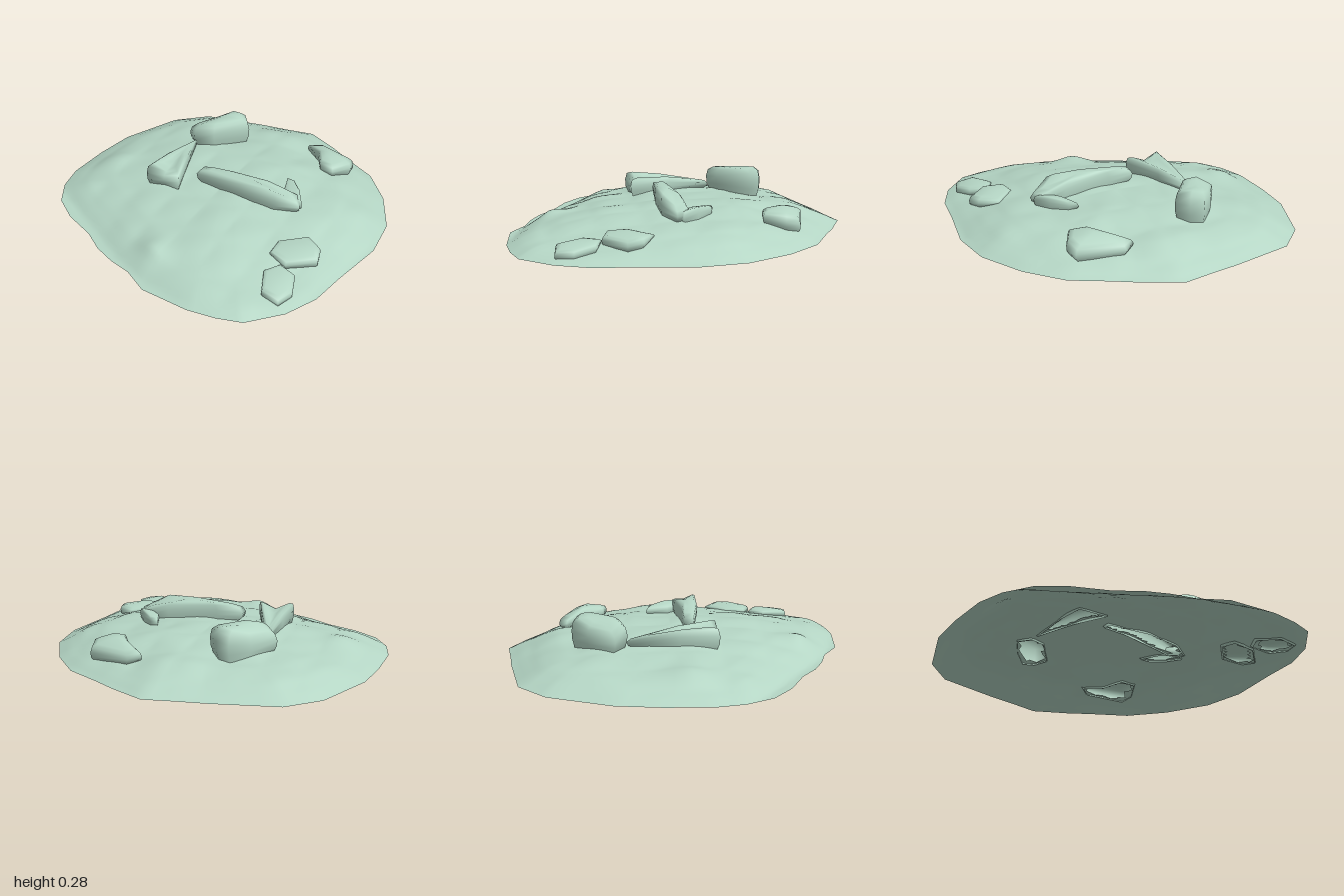
import * as THREE from 'three';

const material = new THREE.MeshStandardMaterial({ color: 0xb5d6c5, side: THREE.DoubleSide });

// Ground outline as x, z, clockwise seen from above
const rim = [
  [-0.32, -0.88], [-0.1, -0.87], [0.05, -0.85], [0.28, -0.83], [0.51, -0.72], [0.73, -0.54],
  [0.86, -0.32], [0.94, 0], [1, 0.2], [1, 0.4], [0.93, 0.61], [0.82, 0.7], [0.68, 0.78],
  [0.41, 0.87], [0.24, 0.85], [0.1, 0.87], [-0.04, 0.87], [-0.19, 0.84], [-0.4, 0.84],
  [-0.58, 0.8], [-0.72, 0.7], [-0.82, 0.57], [-0.92, 0.33], [-0.99, 0.1], [-1, -0.27],
  [-0.91, -0.48], [-0.6, -0.7], [-0.47, -0.78],
];

// Mound height from centre (0) to rim (1)
const profile = [[0, 0.16], [0.3, 0.15], [0.5, 0.13], [0.7, 0.1], [0.85, 0.063], [0.93, 0.035], [1, 0.004]];

// Low swells and hollows: x, z, radius, height
const swells = [
  [0.25, 0.7, 0.1, 0.04], [-0.65, 0.35, 0.1, 0.022], [-0.3, -0.55, 0.16, 0.015],
  [0.6, -0.35, 0.13, 0.02], [-0.8, -0.2, 0.16, 0.022], [0.8, 0.28, 0.22, -0.028],
  [0.1, -0.35, 0.12, 0.016],
];

// Rock outlines as x, z, top height, clockwise seen from above
const longRock = { name: 'longRock', peak: 0.258, outline: [
  [-0.11, 0.13, 0.24], [0.03, 0.06, 0.25], [0.28, -0.09, 0.235], [0.42, -0.16, 0.2],
  [0.48, -0.11, 0.19], [0.4, 0, 0.255], [0.2, 0.09, 0.255], [-0.09, 0.18, 0.24],
] };
const flatSlab = { name: 'flatSlab', peak: 0.19, outline: [
  [0.21, -0.24, 0.18], [0.26, -0.25, 0.185], [0.37, -0.2, 0.195], [0.46, -0.14, 0.19],
  [0.42, -0.09, 0.18], [0.3, -0.14, 0.18],
] };
// Hollowed between its two raised corners
const fanRock = { name: 'fanRock', peak: 0.215, outline: [
  [-0.45, -0.07, 0.19], [-0.26, 0.12, 0.235], [-0.08, 0.31, 0.25], [-0.18, 0.345, 0.21],
  [-0.27, 0.4, 0.26], [-0.35, 0.2, 0.24],
] };
const tallRock = { name: 'tallRock', peak: 0.28, outline: [
  [-0.47, -0.39, 0.275], [-0.39, -0.4, 0.29], [-0.31, -0.36, 0.28], [-0.37, -0.14, 0.28],
  [-0.46, -0.06, 0.265], [-0.55, -0.09, 0.225], [-0.52, -0.27, 0.24],
] };
const backRock = { name: 'backRock', peak: 0.178, outline: [
  [-0.07, -0.63, 0.135], [-0.03, -0.7, 0.13], [0.23, -0.73, 0.13], [0.28, -0.66, 0.155],
  [0.27, -0.53, 0.16], [0.18, -0.51, 0.165], [0.07, -0.59, 0.165],
] };
const sideRock = { name: 'sideRock', peak: 0.122, outline: [
  [0.66, -0.03, 0.11], [0.78, -0.01, 0.115], [0.84, 0.06, 0.105], [0.77, 0.22, 0.11],
  [0.65, 0.23, 0.115], [0.6, 0.13, 0.115],
] };
const edgeRock = { name: 'edgeRock', peak: 0.088, outline: [
  [0.74, 0.23, 0.09], [0.85, 0.22, 0.085], [0.94, 0.31, 0.065], [0.95, 0.41, 0.06],
  [0.85, 0.44, 0.08], [0.73, 0.33, 0.09],
] };
const rocks = [longRock, flatSlab, fanRock, tallRock, backRock, sideRock, edgeRock];

// Fraction of the way from the centre to the rim
function rimFraction(x, z) {
  let t = 0;
  rim.forEach(([ax, az], i) => {
    const [bx, bz] = rim[(i + 1) % rim.length];
    const dx = bx - ax, dz = bz - az;
    t = Math.max(t, (x * dz - z * dx) / (ax * dz - az * dx));
  });
  return Math.min(1, t);
}

function groundHeight(x, z) {
  const t = rimFraction(x, z);
  const k = Math.max(1, profile.findIndex(([p]) => p >= t));
  const [t0, h0] = profile[k - 1], [t1, h1] = profile[k];
  let y = h0 + (h1 - h0) * (t - t0) / (t1 - t0);
  const fade = Math.min(1, (1 - t) * 6);
  y += fade * (0.006 * Math.sin(9 * x + 4 * z) * Math.cos(11 * z - 3 * x)
    + 0.008 * Math.abs(Math.sin(13 * x - 6 * z) * Math.sin(11 * z + 5 * x)) - 0.003);
  for (const [sx, sz, r, h] of swells) {
    y += fade * h * Math.exp(-((x - sx) ** 2 + (z - sz) ** 2) / (r * r));
  }
  return y;
}

const centre = (outline) => [0, 1].map((k) => outline.reduce((sum, p) => sum + p[k], 0) / outline.length);

// Foot areas of the rocks, where the ground is left open
const feet = rocks.map(({ outline }) => {
  const [cx, cz] = centre(outline);
  return outline.map(([x, z]) => [cx + (x - cx) * 0.88, cz + (z - cz) * 0.88]);
});

function inside([x, , z], polygon) {
  let hit = false;
  polygon.forEach(([ax, az], i) => {
    const [bx, bz] = polygon[(i + 1) % polygon.length];
    if ((az > z) !== (bz > z) && x < ax + (bx - ax) * (z - az) / (bz - az)) hit = !hit;
  });
  return hit;
}

// Skin over rings of equal length, outermost first, closed by a top point; holes stay open
function loft(name, rings, peak, holes = []) {
  const n = rings[0].length, index = [];
  const points = [...rings.flat(), peak];
  const tip = points.length - 1;
  const hidden = points.map((p) => holes.findIndex((hole) => inside(p, hole)));
  const add = (a, b, c) => {
    if (hidden[a] < 0 || hidden[a] !== hidden[b] || hidden[a] !== hidden[c]) index.push(a, b, c);
  };
  for (let r = 0; r < rings.length; r++) {
    for (let j = 0; j < n; j++) {
      const a = r * n + j, b = r * n + (j + 1) % n;
      if (r === rings.length - 1) add(b, a, tip);
      else {
        add(b, a, a + n);
        add(b, a + n, b + n);
      }
    }
  }
  const geometry = new THREE.BufferGeometry();
  geometry.setAttribute('position', new THREE.Float32BufferAttribute(points.flat(), 3));
  geometry.setIndex(index);
  geometry.computeVertexNormals();
  const mesh = new THREE.Mesh(geometry, material);
  mesh.name = name;
  return mesh;
}

function ground() {
  const edge = rim.flatMap(([x, z], i) => {
    const [bx, bz] = rim[(i + 1) % rim.length];
    return [0, 0.25, 0.5, 0.75].map((f) => [x + (bx - x) * f, z + (bz - z) * f]);
  });
  const rings = [];
  for (let r = 44; r > 0; r--) {
    const s = r / 44;
    rings.push(edge.map(([x, z]) => [x * s, r === 44 ? 0.004 : groundHeight(x * s, z * s), z * s]));
  }
  return loft('ground', rings, [0, groundHeight(0, 0), 0], feet);
}

// Rock bulging over a narrower foot
const steps = [[0.88, 0], [0.98, 0.3], [1, 0.6], [0.94, 0.88], [0.75, 1], [0.4, 1.01]];
function rock({ name, outline, peak }) {
  const [cx, cz] = centre(outline);
  const rings = steps.map(([s, f]) => outline.map(([px, pz, top]) => {
    const x = cx + (px - cx) * s, z = cz + (pz - cz) * s;
    const foot = groundHeight(x, z) - 0.01;
    const local = top + (peak - top) * (1 - s);
    return [x, foot + (local - foot) * f, z];
  }));
  return loft(name, rings, [cx, peak, cz]);
}

export function createModel() {
  const model = new THREE.Group();
  model.name = 'rockyMound';
  model.add(ground(), ...rocks.map(rock));
  return model;
}
